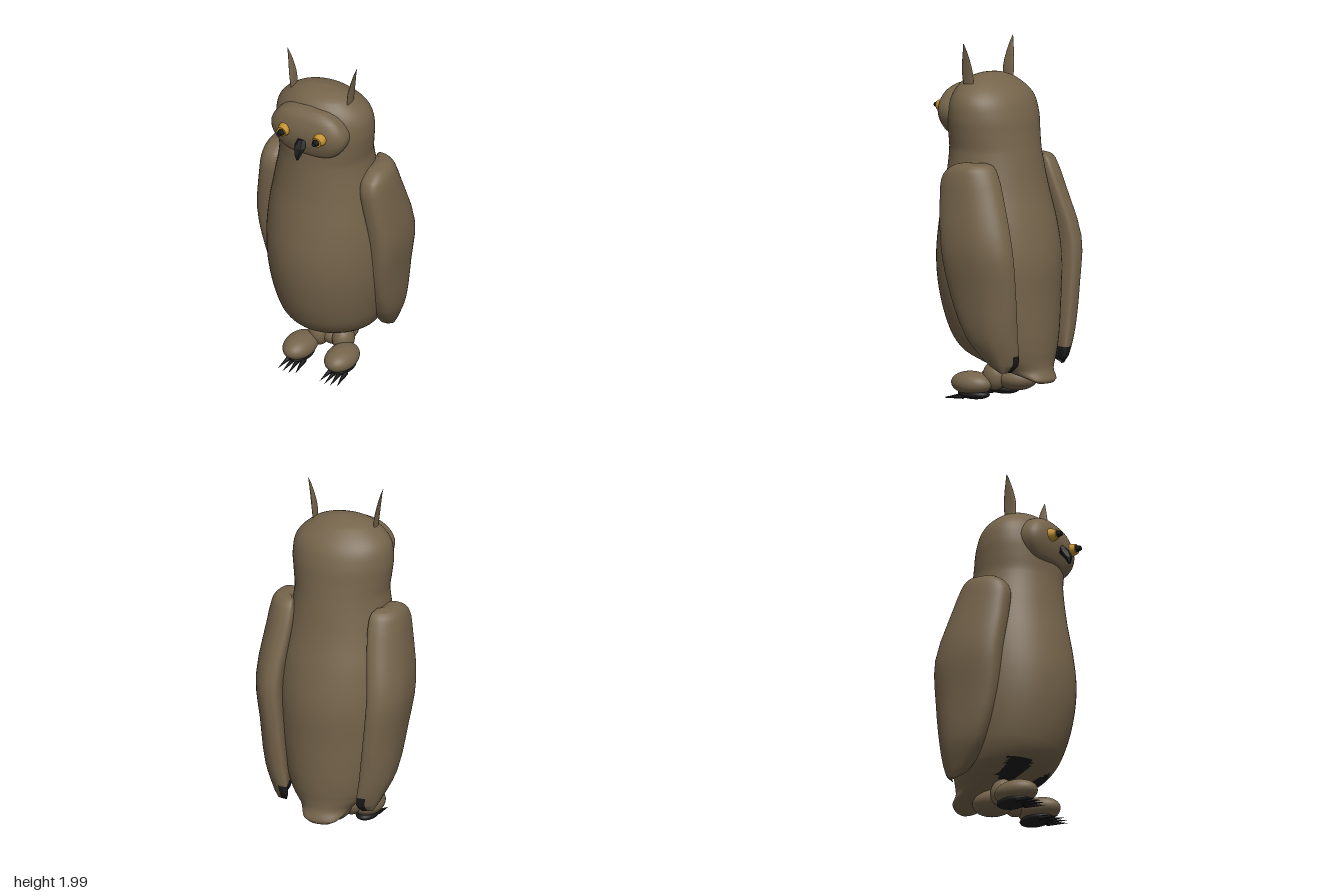
import * as THREE from 'three';

const brown = new THREE.MeshStandardMaterial({ color: 0x75644b });
brown.name = 'brown plumage';
const amber = new THREE.MeshStandardMaterial({ color: 0xc4922f });
amber.name = 'amber eye';
const black = new THREE.MeshStandardMaterial({ color: 0x1c1c1c });
black.name = 'black horn';

// Catmull-Rom interpolation of section rows
function refine(rows, steps) {
  const out = [];
  for (let i = 0; i < rows.length - 1; i++) {
    const a = rows[Math.max(i - 1, 0)], b = rows[i], c = rows[i + 1], d = rows[Math.min(i + 2, rows.length - 1)];
    for (let s = 0; s < steps; s++) {
      const t = s / steps;
      out.push(b.map((v, k) => {
        const lin = v + (c[k] - v) * t;
        if (k === 0) return lin;
        // tangents scaled for unequal row heights
        const h = c[0] - b[0];
        const m0 = h * (c[k] - a[k]) / (c[0] - a[0]), m1 = h * (d[k] - v) / (d[0] - b[0]);
        const t2 = t * t, t3 = t2 * t;
        return (2 * t3 - 3 * t2 + 1) * v + (t3 - 2 * t2 + t) * m0 + (3 * t2 - 2 * t3) * c[k] + (t3 - t2) * m1;
      }));
    }
  }
  out.push(rows[rows.length - 1]);
  return out;
}

// Loft upright rows [y, centre x, half width, front z, back z]; faces where isDark() holds use material 1
function loft(rows, { steps = 4, sides = 48, power = 2, bend = 0, mirror = 1, isDark = () => false } = {}) {
  const list = steps > 1 ? refine(rows, steps) : rows;
  const pos = [], plain = [], dark = [];
  const curve = (v) => Math.sign(v) * Math.abs(v) ** (2 / power);
  for (const [y, xc, hw, zf, zb] of list) {
    for (let j = 0; j < sides; j++) {
      const a = (j / sides) * Math.PI * 2, s = curve(Math.sin(a));
      const x = xc + hw * curve(Math.cos(a)) - (s < 0 ? bend * s * s : 0);
      pos.push(mirror * x, y, (zf + zb) / 2 + ((zf - zb) / 2) * s);
    }
  }
  const tri = (a, b, c) => {
    const mid = (k) => (pos[a * 3 + k] + pos[b * 3 + k] + pos[c * 3 + k]) / 3;
    (isDark(mid(0), mid(1), mid(2)) ? dark : plain).push(...(mirror > 0 ? [a, b, c] : [a, c, b]));
  };
  for (let i = 0; i < list.length - 1; i++) {
    for (let j = 0; j < sides; j++) {
      const a = i * sides + j, b = i * sides + (j + 1) % sides;
      tri(a, a + sides, b);
      tri(b, a + sides, b + sides);
    }
  }
  // end caps
  const top = (list.length - 1) * sides;
  for (let j = 1; j < sides - 1; j++) {
    tri(0, j, j + 1);
    tri(top, top + j + 1, top + j);
  }
  const geo = new THREE.BufferGeometry();
  geo.setAttribute('position', new THREE.Float32BufferAttribute(pos, 3));
  geo.setIndex([...plain, ...dark]);
  geo.addGroup(0, plain.length, 0);
  geo.addGroup(plain.length, dark.length, 1);
  geo.computeVertexNormals();
  return geo;
}

function faceted(geo) {
  const g = geo.index ? geo.toNonIndexed() : geo;
  g.computeVertexNormals();
  return g;
}

export function createModel() {
  const model = new THREE.Group();
  model.name = 'owl';
  const add = (name, geo, mat, x = 0, y = 0, z = 0) => {
    const mesh = new THREE.Mesh(geo, mat);
    mesh.name = name;
    mesh.position.set(x, y, z);
    model.add(mesh);
    return mesh;
  };
  const ball = (rx, ry, rz) => new THREE.SphereGeometry(1, 32, 20).scale(rx, ry, rz);

  // Body, head and tail in one skin, with dark patches above the legs
  add('body', loft([
    [0.13, 0, 0.06, -0.3, -0.355],
    [0.15, 0, 0.1, -0.26, -0.36],
    [0.2, 0, 0.15, -0.05, -0.342],
    [0.25, 0, 0.21, 0.09, -0.34],
    [0.3, 0, 0.25, 0.19, -0.345],
    [0.4, 0, 0.29, 0.265, -0.35],
    [0.6, 0, 0.33, 0.325, -0.35],
    [0.8, 0, 0.345, 0.345, -0.35],
    [1.0, 0, 0.335, 0.325, -0.315],
    [1.2, 0, 0.3, 0.29, -0.262],
    [1.4, 0, 0.266, 0.27, -0.224],
    [1.5, 0, 0.276, 0.27, -0.207],
    [1.6, 0, 0.285, 0.265, -0.19],
    [1.7, 0, 0.265, 0.24, -0.15],
    [1.78, 0, 0.18, 0.19, -0.07],
    [1.815, 0, 0.09, 0.12, 0],
    [1.826, 0, 0.004, 0.06, 0.052],
  ], {
    steps: 5, sides: 64,
    isDark: (x, y, z) => y > 0.2 && y < 0.305 && z > -0.03 && Math.abs(Math.abs(x) - 0.07 - (y - 0.2) * 0.8) < 0.055 && Math.abs(x) > 0.06,
  }), [brown, black]);

  // Broad, blunt face swelling
  add('face', loft([
    [-0.155, 0, 0.004, 0.004, -0.004],
    [-0.14, 0, 0.11, 0.05, -0.05],
    [-0.1, 0, 0.185, 0.085, -0.08],
    [0, 0, 0.235, 0.108, -0.1],
    [0.09, 0, 0.195, 0.09, -0.08],
    [0.14, 0, 0.11, 0.05, -0.05],
    [0.155, 0, 0.004, 0.004, -0.004],
  ], { power: 2.6 }), brown, 0, 1.61, 0.197);

  // Under-tail lump joining the legs
  add('legBase', ball(0.1, 0.07, 0.13), brown, 0, 0.14, -0.12);

  // Hooked beak
  add('beak', faceted(loft([
    [1.49, 0, 0.006, 0.354, 0.34],
    [1.525, 0, 0.022, 0.362, 0.318],
    [1.56, 0, 0.036, 0.352, 0.285],
    [1.6, 0, 0.022, 0.318, 0.28],
  ], { steps: 1, sides: 6 })), black);

  for (const side of [1, -1]) {
    const label = side > 0 ? 'left' : 'right';

    // Folded wing with its rear edge wrapping round the back
    add(label + 'Wing', loft([
      [0.205, 0.27, 0.008, -0.22, -0.26],
      [0.25, 0.265, 0.04, -0.14, -0.3],
      [0.4, 0.3, 0.07, -0.02, -0.315],
      [0.65, 0.33, 0.078, 0.07, -0.325],
      [0.9, 0.352, 0.088, 0.11, -0.315],
      [1.2, 0.318, 0.085, 0.14, -0.22],
      [1.29, 0.31, 0.078, 0.125, -0.185],
      [1.345, 0.305, 0.055, 0.06, -0.15],
      [1.36, 0.3, 0.01, 0, -0.1],
    ], {
      steps: 3, power: 2.6, bend: 0.05, mirror: side,
      isDark: (x, y) => y < 0.29 && Math.abs(x) < 0.25,
    }), [brown, black]);

    // Thin ear tuft
    add(label + 'EarTuft', loft([
      [1.75, 0.176, 0.009, 0.105, 0.04],
      [1.83, 0.183, 0.009, 0.113, 0.036],
      [1.9, 0.195, 0.007, 0.103, 0.046],
      [1.96, 0.208, 0.004, 0.088, 0.06],
      [2.0, 0.22, 0.001, 0.076, 0.072],
    ], { steps: 3, sides: 12, mirror: side }), brown);

    // Eye and pupil
    add(label + 'Eye', new THREE.CylinderGeometry(0.028, 0.042, 0.06, 20).rotateX(Math.PI / 2), amber, side * 0.112, 1.627, 0.302);
    add(label + 'Pupil', faceted(new THREE.CylinderGeometry(0.013, 0.025, 0.04, 7).rotateX(Math.PI / 2)), black, side * 0.11, 1.627, 0.339);

    // Foot, dark sole and leg
    add(label + 'Foot', ball(0.087, 0.066, 0.128), brown, side * 0.132, 0.106, 0.085);
    add(label + 'Sole', ball(0.062, 0.03, 0.1), black, side * 0.132, 0.048, 0.07);
    add(label + 'Leg', ball(0.06, 0.08, 0.07), brown, side * 0.075, 0.15, -0.03);

    // Four claws, fanned forward
    for (let i = 0; i < 4; i++) {
      const s = (i - 1.5) / 1.5;
      const length = 0.15 - 0.025 * Math.abs(s);
      const claw = faceted(new THREE.ConeGeometry(0.017, length, 6).rotateX(Math.PI / 2 + 0.16));
      const mesh = add(label + 'Claw' + (i + 1), claw, black, side * 0.132 + s * 0.048, 0.026, 0.188 - 0.012 * Math.abs(s));
      mesh.rotation.y = s * 0.12;
    }
  }
  return model;
}
